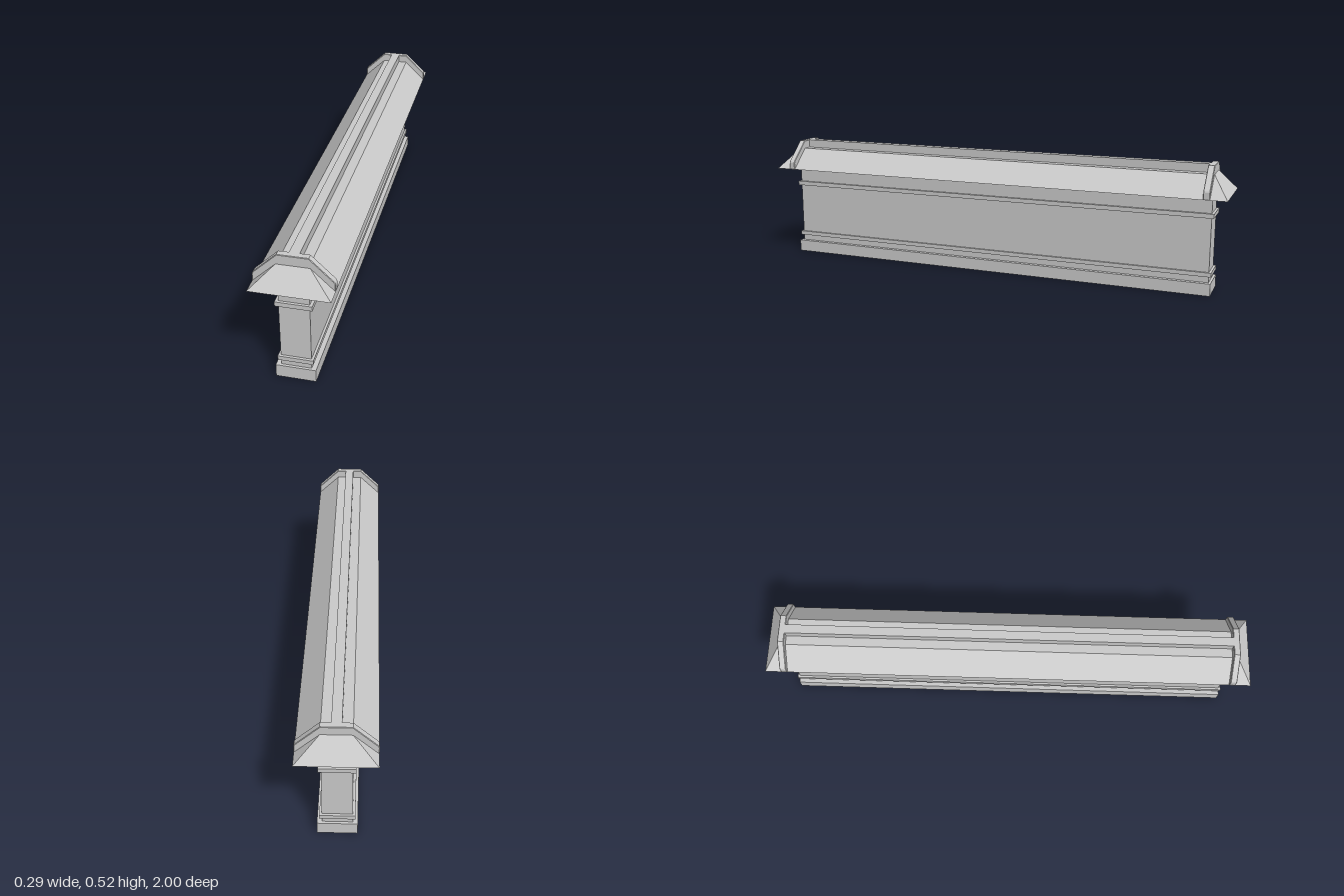
import * as THREE from 'three';

const material = new THREE.MeshStandardMaterial({ color: 0xcccccc, flatShading: true });
const shellMaterial = new THREE.MeshStandardMaterial({
  color: 0xcccccc, flatShading: true, side: THREE.DoubleSide,
});

// Joins rectangular loops [halfWidth, y, halfLength] from bottom to top
function rectLoft(loops, capped) {
  const corners = [[1, 1], [1, -1], [-1, -1], [-1, 1]];
  const rings = loops.map(([w, y, l]) => corners.map(([sx, sz]) => [sx * w, y, sz * l]));
  const pos = [];
  const quad = (a, b, c, d) => pos.push(...a, ...b, ...c, ...a, ...c, ...d);
  for (let r = 0; r < rings.length - 1; r++) {
    for (let i = 0; i < 4; i++) {
      const j = (i + 1) % 4;
      quad(rings[r][i], rings[r][j], rings[r + 1][j], rings[r + 1][i]);
    }
  }
  if (capped) {
    quad(...rings[rings.length - 1]);
    quad(...[...rings[0]].reverse());
  }
  const geo = new THREE.BufferGeometry();
  geo.setAttribute('position', new THREE.Float32BufferAttribute(pos, 3));
  geo.computeVertexNormals();
  return geo;
}

export function createModel() {
  const model = new THREE.Group();
  model.name = 'roofedWall';
  const add = (name, geo, mat = material) => {
    const mesh = new THREE.Mesh(geo, mat);
    mesh.name = name;
    model.add(mesh);
    return mesh;
  };

  // Hollow wall, open below: plinth, then two moulding strips
  const W = 0.056, L = 0.935, E = 0.945;
  const wall = add('wall', rectLoft([
    [0.074, 0, E], [0.074, 0.05, E], [W, 0.05, L],
    [W, 0.075, L], [0.065, 0.075, E], [0.065, 0.092, E], [W, 0.092, L],
    [W, 0.311, L], [0.067, 0.311, E], [0.067, 0.329, E], [W, 0.329, L],
    [W, 0.398, L],
  ], false), shellMaterial);
  wall.position.set(-0.001, 0, 0.003);

  // Hipped roof with a flat top
  add('roof', rectLoft([[0.146, 0.398, 1], [0.056, 0.483, 0.934]], true));

  // Ridge bar along the flat top
  const ridge = add('ridge', new THREE.BoxGeometry(0.037, 0.036, 1.84));
  ridge.position.set(0, 0.499, 0.003);

  // Raised bands across the roof at both ends
  const half = [[0.146, 0.399], [0.146, 0.426], [0.144, 0.432], [0.139, 0.438], [0.056, 0.517]];
  const outline = [...half, ...half.map(([x, y]) => [-x, y]).reverse()];
  const shape = new THREE.Shape(outline.map(([x, y]) => new THREE.Vector2(x, y)));
  const bevel = 0.002;
  const bandGeo = new THREE.ExtrudeGeometry(shape, {
    depth: 0.022, bevelEnabled: true, bevelSegments: 1,
    bevelSize: bevel, bevelThickness: bevel, bevelOffset: -bevel,
  });
  bandGeo.translate(0, 0, -0.011);
  for (const [name, z] of [['frontBand', 0.924], ['backBand', -0.921]]) {
    add(name, bandGeo).position.z = z;
  }

  return model;
}
